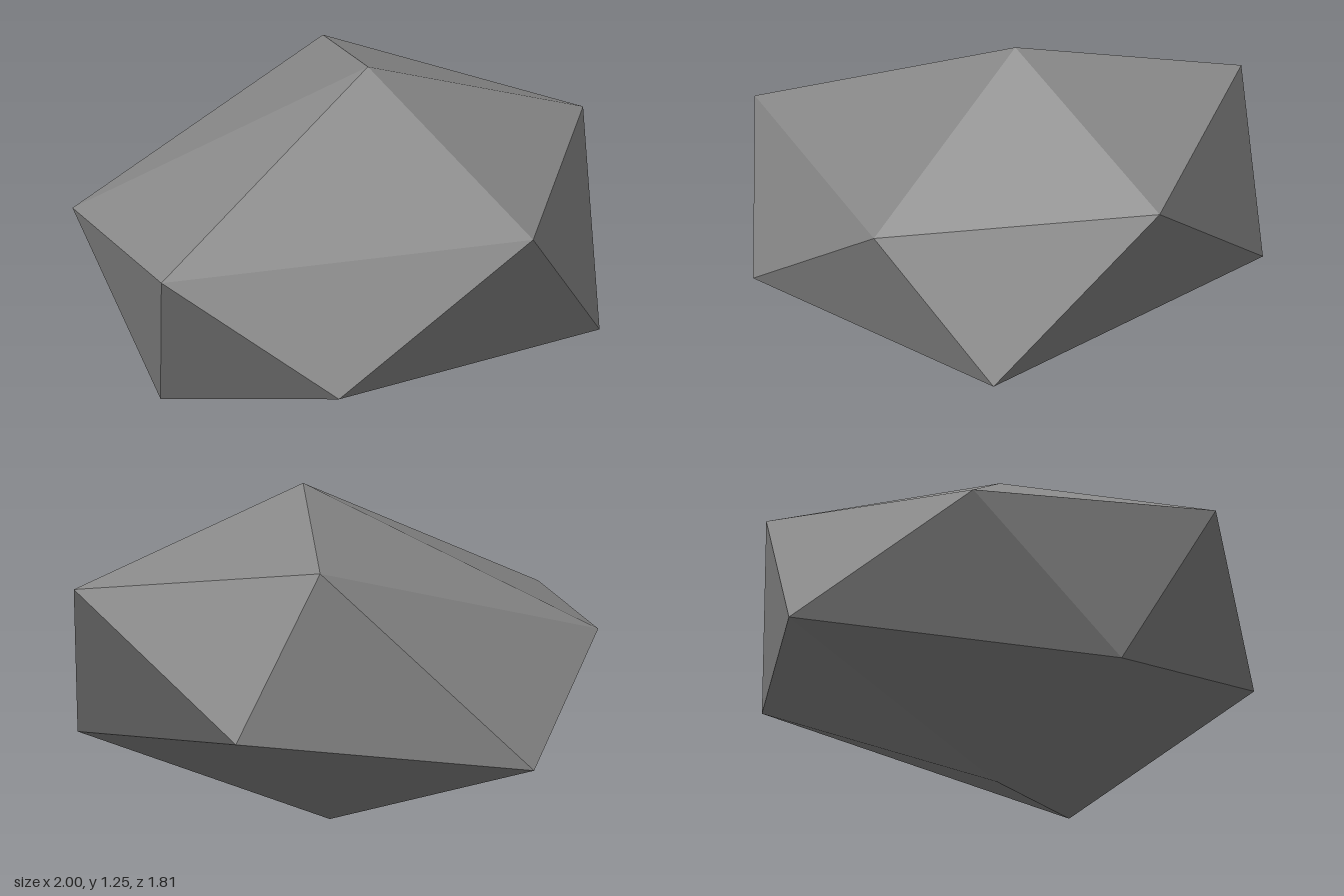
import * as THREE from 'three';

export function createModel() {
  const stone = new THREE.MeshStandardMaterial({ color: 0x888888, flatShading: true });
  stone.name = 'stone grey';

  // Irregular twenty-sided rock: a peak, two staggered rings of five, and a foot
  const peak = [0.08, 1.255, 0.085];
  const upper = [[-1, 0.735, 0.57], [0.38, 0.78, 0.855], [1, 0.93, 0], [0.3, 1.08, -0.745], [-0.92, 0.725, -0.34]];
  const lower = [[-0.435, 0.3, 0.9], [0.785, 0.28, 0.58], [0.6, 0.445, -0.665], [-0.475, 0.325, -0.908], [-0.85, 0.16, 0.255]];
  const foot = [-0.01, 0, 0.045];

  const corners = [];
  for (let i = 0; i < 5; i++) {
    const j = (i + 1) % 5;
    corners.push(peak, upper[i], upper[j]); // cap
    corners.push(upper[i], lower[i], upper[j]); // side, pointing down
    corners.push(lower[i], lower[j], upper[j]); // side, pointing up
    corners.push(foot, lower[j], lower[i]); // underside
  }
  const geometry = new THREE.BufferGeometry();
  geometry.setAttribute('position', new THREE.Float32BufferAttribute(corners.flat(), 3));
  geometry.computeVertexNormals();

  const rock = new THREE.Mesh(geometry, stone);
  rock.name = 'rock';
  const group = new THREE.Group();
  group.name = 'boulder';
  group.add(rock);
  return group;
}
